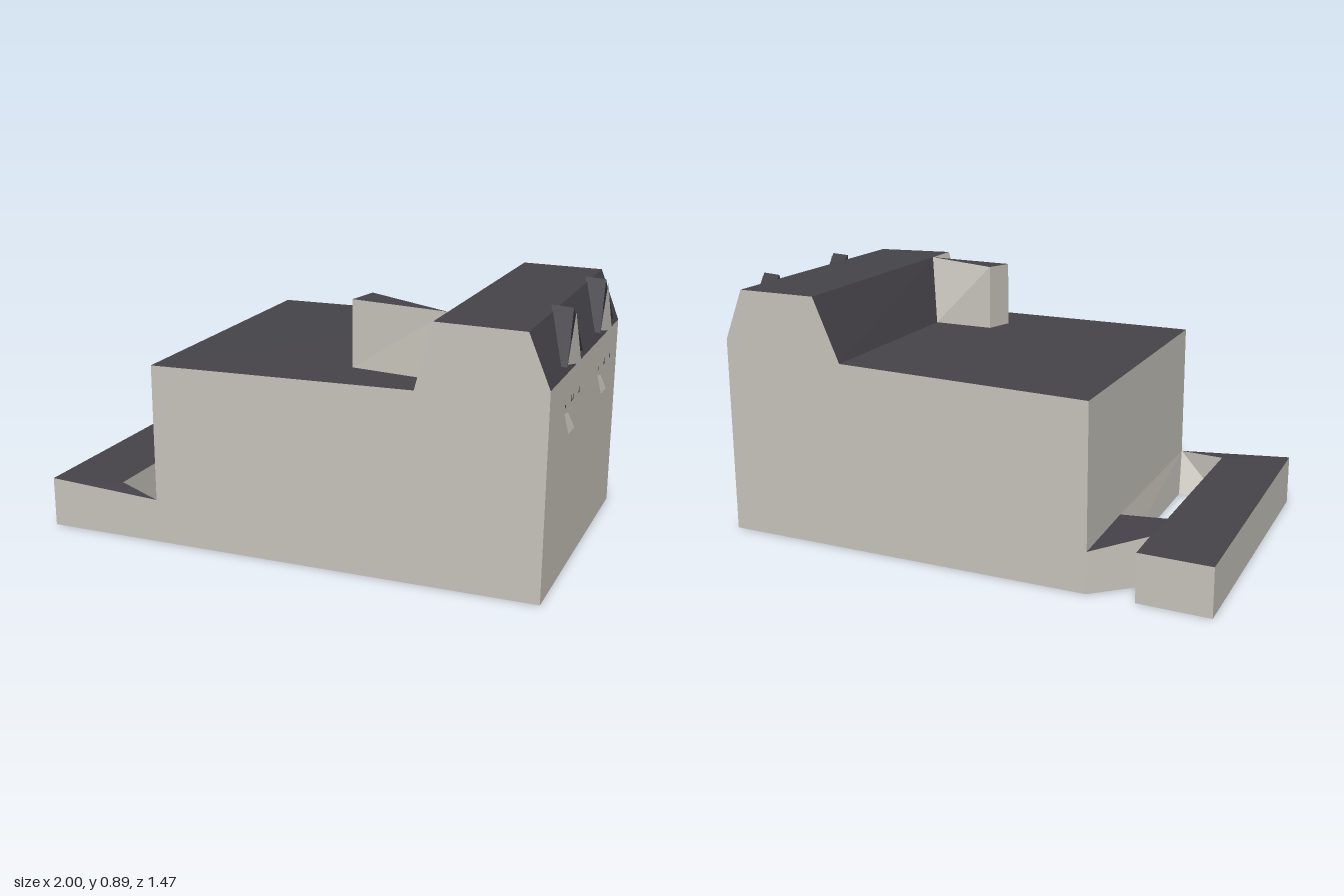
import * as THREE from 'three';

export function createModel() {
  const model = new THREE.Group();
  const wall = new THREE.MeshStandardMaterial({ name: 'stone wall', color: 0xc6c3ba, side: THREE.DoubleSide });
  const roof = new THREE.MeshStandardMaterial({ name: 'slate roof', color: 0x454349, side: THREE.DoubleSide });

  // One mesh from flat faces, each fanned from its first corner
  function faces(name, material, polygons, parent = model) {
    const pos = [];
    for (const p of polygons) {
      for (let i = 1; i < p.length - 1; i++) pos.push(...p[0], ...p[i], ...p[i + 1]);
    }
    const geo = new THREE.BufferGeometry();
    geo.setAttribute('position', new THREE.Float32BufferAttribute(pos, 3));
    geo.computeVertexNormals();
    const mesh = new THREE.Mesh(geo, material);
    mesh.name = name;
    parent.add(mesh);
    return mesh;
  }
  // Points on the planes of the front, back and right walls
  const F = (x, y) => [x, y, 0.52 - 0.3 * x];
  const B = (x, y) => [x, y, -0.573 - 0.2256 * x];
  const W = (z, y, out = 0) => [0.94 + 0.2708 * z + out, y, z];
  const down = (p) => [p[0], 0, p[2]];
  const upright = (a, b) => [down(a), down(b), b, a];

  // Corners of the low wing, its courtyard and the main block
  const o1 = [-1, 0.17, -0.35], o2 = [-0.75, 0.17, -0.4], o3 = [-0.71, 0.17, -0.26];
  const o4 = F(-0.7, 0.178);
  const i1 = [-0.67, 0.17, -0.09], i2 = [-0.49, 0.17, 0.59];
  const m1 = B(-0.59, 0.145), m2 = [-0.502, 0.155, -0.12], m3 = F(-0.3, 0.155);
  const c1 = [-0.52, 0, -0.12], c2 = [-0.33, 0, 0.55];

  // Corners of the stair wedge where it meets the tower
  const P = [0.609, 0.88, 0.19], Q = [0.27, 0.885, 0.13], R = [0.485, 0.656, 0.07];
  const K = [0.55, 0.655, 0.21], S = [0.27, 0.65, 0.13], T = [0.27, 0.65, 0.24], U = [0.27, 0.882, 0.24];

  // Main block
  faces('frontWall', wall, [[F(1, 0), F(1, 0.7), F(0.93, 0.875), F(0.645, 0.88), F(0.59, 0.655),
    F(-0.3, 0.64), m3, o4, F(-0.7, 0)]]);
  faces('backWall', wall, [[B(0.74, 0), B(-0.59, 0), B(-0.59, 0.64), B(0.29, 0.66),
    B(0.385, 0.88), B(0.67, 0.88), B(0.74, 0.7)]]);
  faces('rightWall', wall, [[F(1, 0), B(0.74, 0), B(0.74, 0.7), F(1, 0.7)]]);
  faces('leftWall', wall, [[m1, m3, F(-0.3, 0.64), B(-0.59, 0.64)]]);
  faces('mainRoof', roof, [[F(-0.3, 0.64), F(0.59, 0.655), K, R, B(0.29, 0.66), B(-0.59, 0.64)]]);

  // Raised range along the right side
  faces('upperRoof', roof, [
    [B(0.385, 0.88), F(0.645, 0.88), F(0.93, 0.875), B(0.67, 0.88)],
    [F(0.93, 0.875), F(1, 0.7), B(0.74, 0.7), B(0.67, 0.88)],
    [B(0.29, 0.66), R, P, B(0.385, 0.88)],
  ]);
  faces('upperWall', wall, [[K, F(0.59, 0.655), F(0.645, 0.88), P]]);

  // Wedge on the main roof
  faces('wedgeWalls', wall, [[T, K, P, U], [S, T, U, Q], [Q, P, R], [S, Q, R]]);
  faces('wedgeRoof', roof, [[Q, U, P]]);

  // Low wing around the courtyard
  faces('wingRoof', roof, [[o1, i1, o3, o2], [o3, i1, m2, m1], [o1, o4, i2, i1], [i2, o4, m3]]);
  faces('wingWalls', wall, [upright(o1, o4), upright(o2, o1), upright(o3, o2), upright(m1, o3)]);
  faces('courtyardWalls', wall, [
    upright(i1, i2), [down(i1), c1, m2, i1], [c1, c2, m3, m2], [down(i2), c2, m3, i2],
  ]);

  // Two gabled dormers with openings and sills below
  for (const z of [-0.045, -0.505]) {
    const dormer = new THREE.Group();
    dormer.name = 'dormer';
    model.add(dormer);
    const ridge = W(z, 0.895, -0.005), ridgeBack = W(z, 0.895, -0.085);
    faces('dormerGable', wall, [[W(z - 0.025, 0.71, 0.006), W(z - 0.005, 0.66, 0.006),
      W(z - 0.12, 0.66, 0.006), W(z, 0.885, 0.004), W(z + 0.085, 0.735, 0.006)]], dormer);
    faces('dormerRoof', roof, [
      [ridge, ridgeBack, W(z + 0.1, 0.73, -0.02), W(z + 0.1, 0.73, 0.008)],
      [ridge, W(z - 0.11, 0.73, 0.008), W(z - 0.11, 0.73, -0.02), ridgeBack],
    ], dormer);
    faces('sill', wall, [[W(z + 0.085, 0.575, 0.003), W(z + 0.035, 0.565, 0.003),
      W(z + 0.005, 0.51, 0.02), W(z + 0.08, 0.51, 0.02)]], dormer);
    faces('openings', roof, [0.085, 0.005, -0.015, -0.095].map((d) => [
      W(z + d + 0.006, 0.592, 0.005), W(z + d - 0.008, 0.595, 0.005), W(z + d, 0.615, 0.005)]), dormer);
  }
  return model;
}
